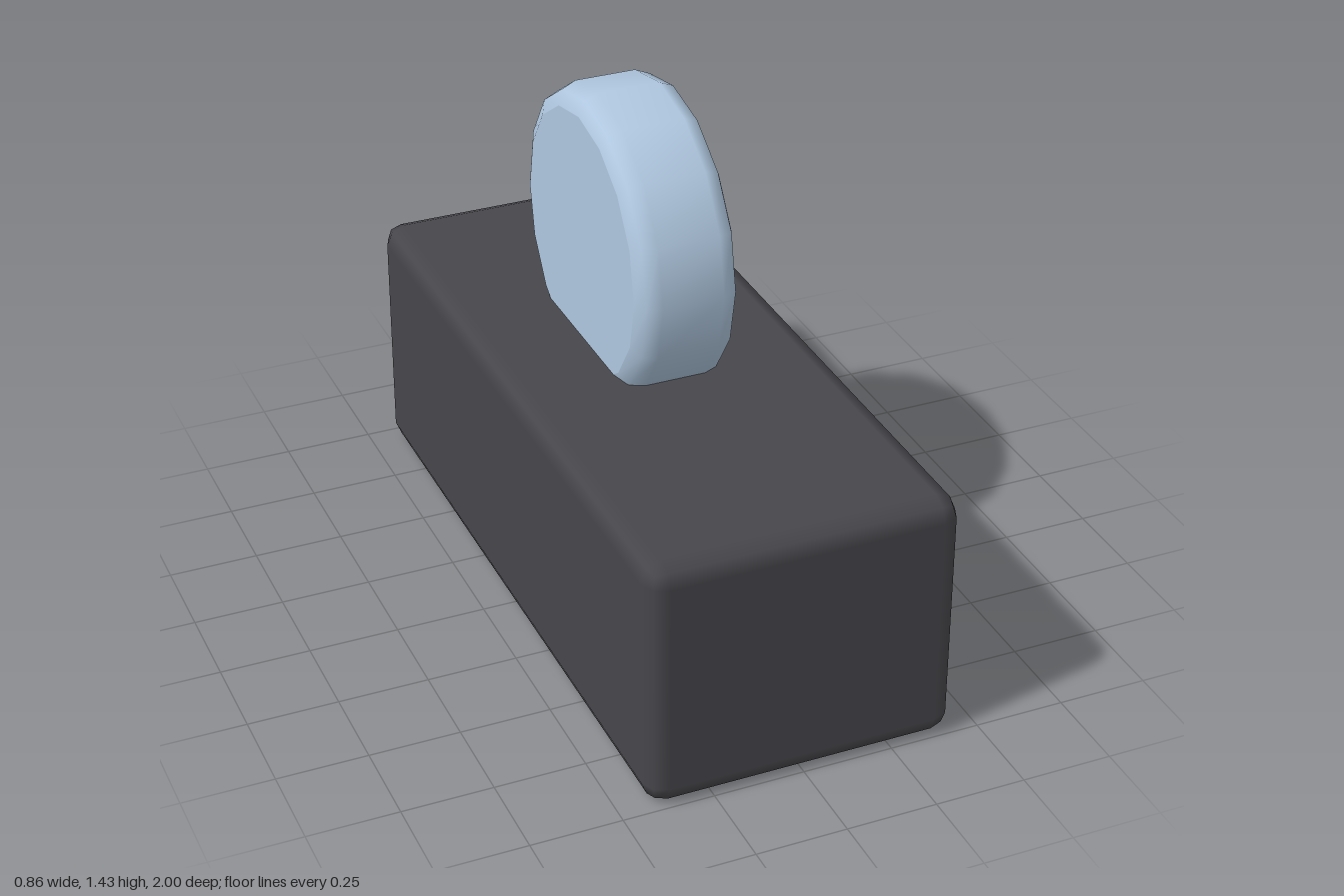
import * as THREE from 'three';
import { RoundedBoxGeometry } from 'three/addons/geometries/RoundedBoxGeometry.js';

export function createModel() {
  const group = new THREE.Group();
  const charcoal = new THREE.MeshStandardMaterial({ color: 0x47464b });
  charcoal.name = 'charcoal';
  const paleBlue = new THREE.MeshStandardMaterial({ color: 0xb0c8e0 });
  paleBlue.name = 'pale blue';

  // Long block with softly bevelled edges
  const base = new THREE.Mesh(new RoundedBoxGeometry(0.857, 0.714, 2, 1, 0.057), charcoal);
  base.name = 'baseBlock';
  base.position.y = 0.357;
  group.add(base);

  // Bevelled disc profile, from one face to the other
  const radius = 0.4286, half = 0.143, bevel = 0.057;
  const profile = [new THREE.Vector2(0, -half), new THREE.Vector2(radius - bevel - 0.002, -half)];
  for (const side of [-1, 1]) {
    for (let i = 0; i <= 2; i++) {
      const a = (side < 0 ? i - 2 : i) * Math.PI / 4;
      profile.push(new THREE.Vector2(
        radius - bevel + bevel * Math.cos(a),
        side * (half - bevel) + bevel * Math.sin(a)
      ));
    }
  }
  profile.push(new THREE.Vector2(radius - bevel - 0.002, half), new THREE.Vector2(0, half));

  // Upright wheel sunk into the top of the block
  const wheel = new THREE.Mesh(new THREE.LatheGeometry(profile, 16), paleBlue);
  wheel.name = 'wheel';
  wheel.rotation.z = Math.PI / 2;
  wheel.position.set(0, 1, -0.143);
  group.add(wheel);

  return group;
}
